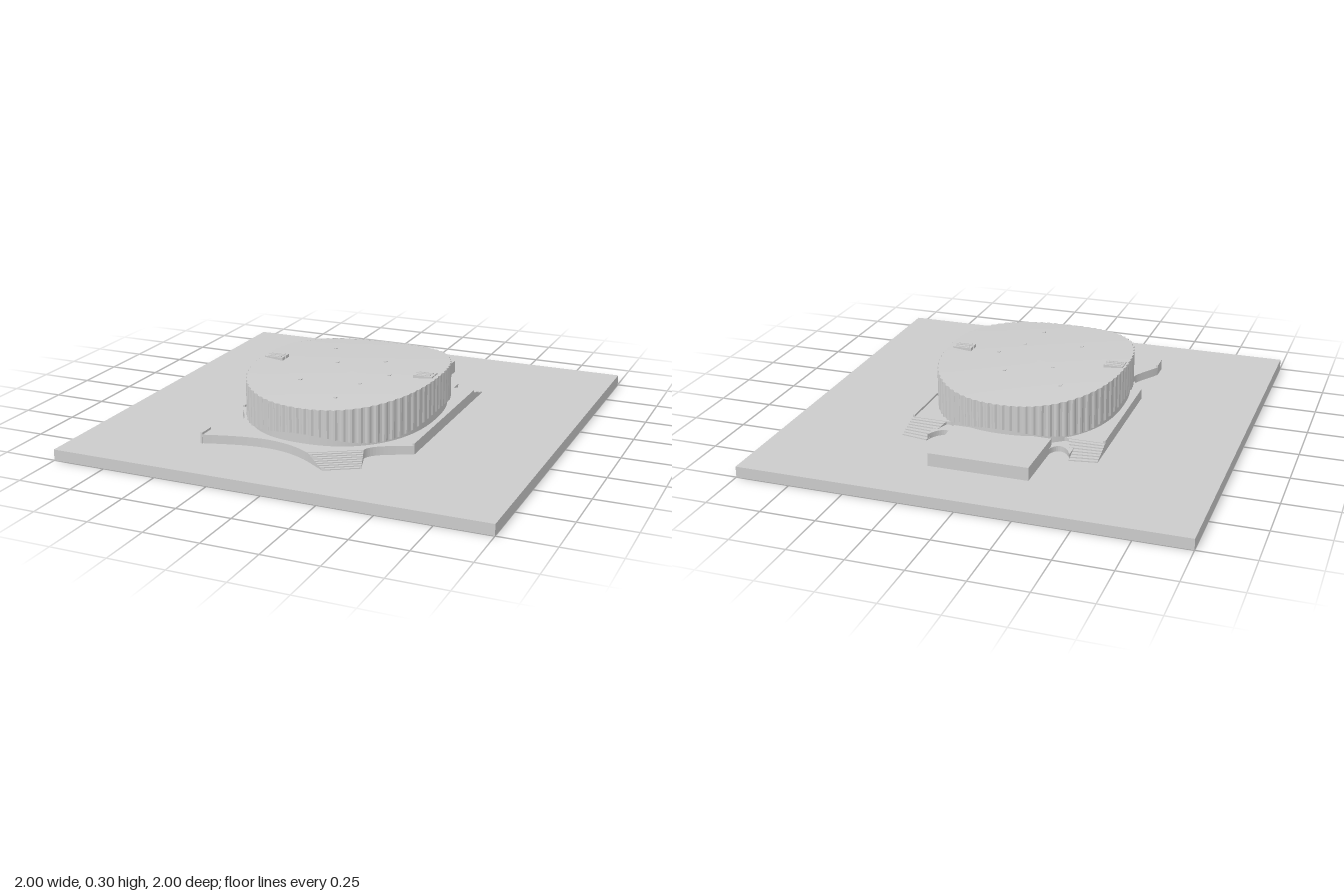
import * as THREE from 'three';

const CZ = 0.08, RX = 0.435, RZ = 0.54, POW = 2.3, SLAB = 0.05, DECK = 0.09;
const material = new THREE.MeshStandardMaterial({ color: 0xcccccc, side: THREE.DoubleSide });
const flatMaterial = new THREE.MeshStandardMaterial({ color: 0xcccccc, flatShading: true, side: THREE.DoubleSide });

// Rounded-oval footprint and saddle-shaped roof height
function oval(angle, scale) {
  const c = Math.cos(angle), s = Math.sin(angle);
  const r = scale * Math.pow(Math.abs(c) ** POW + Math.abs(s) ** POW, -1 / POW);
  return [RX * r * c, CZ + RZ * r * s];
}
const roofY = (x, z) => 0.268 + 0.024 * (x / RX) ** 2 - 0.016 * ((z - CZ) / RZ) ** 2;
const hemY = (angle) => 0.12 + 0.018 * Math.cos(4 * angle);

// Surface through closed rings; point(ring, index, angle) gives [x, y, z]
function loft(rings, sides, point) {
  const pos = [], index = [];
  for (let r = 0; r < rings; r++) {
    for (let j = 0; j < sides; j++) pos.push(...point(r, j, (j / sides) * Math.PI * 2));
  }
  for (let r = 0; r < rings - 1; r++) {
    for (let j = 0; j < sides; j++) {
      const a = r * sides + j, b = r * sides + (j + 1) % sides;
      index.push(a, a + sides, b, b, a + sides, b + sides);
    }
  }
  const g = new THREE.BufferGeometry();
  g.setAttribute('position', new THREE.Float32BufferAttribute(pos, 3));
  g.setIndex(index);
  g.computeVertexNormals();
  return g;
}

// Plan outline (x, z) raised from the slab to a given top
function raise(shape, top) {
  const g = new THREE.ExtrudeGeometry(shape, { depth: top - SLAB, bevelEnabled: false, curveSegments: 14 });
  return g.rotateX(Math.PI / 2).translate(0, top, 0);
}

export function createModel() {
  const model = new THREE.Group();
  const add = (name, geometry, mat = material, parent = model) => {
    const mesh = new THREE.Mesh(geometry, mat);
    mesh.name = name;
    parent.add(mesh);
    return mesh;
  };
  const box = (name, x0, x1, y0, y1, z0, z1, parent) => add(name,
    new THREE.BoxGeometry(x1 - x0, y1 - y0, z1 - z0)
      .translate((x0 + x1) / 2, (y0 + y1) / 2, (z0 + z1) / 2), material, parent);

  box('groundSlab', -1, 1, 0, SLAB, -1, 1);
  box('rearAnnex', -0.23, 0.225, SLAB, 0.11, -0.73, -0.42);

  // Podium with its curved front edge and notches
  const deck = new THREE.Shape();
  deck.moveTo(-0.455, -0.35);
  deck.lineTo(-0.455, 0.28);
  deck.bezierCurveTo(-0.42, 0.35, -0.375, 0.39, -0.375, 0.44);
  deck.bezierCurveTo(-0.375, 0.48, -0.42, 0.53, -0.455, 0.6);
  deck.lineTo(-0.455, 0.68);
  deck.bezierCurveTo(-0.33, 0.64, -0.24, 0.62, -0.17, 0.62);
  deck.bezierCurveTo(-0.08, 0.62, 0, 0.65, 0.07, 0.695);
  deck.lineTo(0.275, 0.57);
  deck.bezierCurveTo(0.28, 0.51, 0.37, 0.48, 0.455, 0.44);
  deck.lineTo(0.455, -0.35);
  deck.closePath();
  add('podium', raise(deck, DECK));

  // Low parapets along the podium sides
  box('parapetLeft', 0.445, 0.455, SLAB, 0.1, -0.35, 0.44);
  box('parapetRight', -0.455, -0.445, SLAB, 0.1, -0.35, 0.28);
  box('parapetCorner', -0.455, -0.445, SLAB, 0.1, 0.6, 0.68);

  // Stairs: stacked slabs reaching from an upper edge towards a lower edge
  function stairs(name, upper, lower, count) {
    const group = new THREE.Group();
    group.name = name;
    for (let i = 1; i <= count; i++) {
      const t = i / count;
      const ends = lower.map((p, k) => [0, 1].map((n) => upper[k][n] + (p[n] - upper[k][n]) * t));
      const outline = [upper[0], ends[0], ends[1], upper[1]].map((p) => new THREE.Vector2(...p));
      add('step', raise(new THREE.Shape(outline), DECK - (DECK - SLAB) * (i - 0.5) / (count + 0.5)), material, group);
    }
    model.add(group);
  }
  stairs('frontStairs', [[0.07, 0.695], [0.275, 0.57]], [[0.17, 0.765], [0.31, 0.68]], 8);
  for (const s of [1, -1]) {
    stairs('rearStairs', [[s * 0.29, -0.35], [s * 0.455, -0.35]], [[s * 0.33, -0.49], [s * 0.455, -0.47]], 7);

    // Curved return wall between annex and rear stairs
    const wall = new THREE.Shape();
    wall.moveTo(s * 0.225, -0.49);
    wall.bezierCurveTo(s * 0.23, -0.38, s * 0.3, -0.39, s * 0.33, -0.48);
    wall.lineTo(s * 0.33, -0.34);
    wall.lineTo(s * 0.2, -0.34);
    wall.closePath();
    add('rearReturn', raise(wall, 0.075));
  }

  // Recessed drum beneath the facade
  add('lowerDrum', loft(2, 120, (r, j, a) => {
    const [x, z] = oval(a, 0.965);
    return [x, r ? 0.15 : SLAB, z];
  }));

  // Ribbed facade with a wavy lower hem and saddle-shaped rim
  const facade = [[0.95, 0], [1, 0], [1, 1], [0.975, 1]];
  add('ribbedFacade', loft(facade.length, 320, (r, j, a) => {
    const [scale, top] = facade[r];
    const rib = scale === 1 && j % 4 < 2 ? 0.988 : scale;
    const [x, z] = oval(a, rib);
    return [x, top ? roofY(x, z) + 0.002 : hemY(a), z];
  }), flatMaterial);

  // Roof skin
  add('roof', loft(9, 120, (r, j, a) => {
    const [x, z] = oval(a, 0.985 * (1 - r / 8));
    return [x, roofY(x, z), z];
  }));

  // Paired plant units on the roof edges
  for (const x of [-0.375, 0.365]) {
    for (const z of [0.06, 0.1]) {
      box('roofUnit', x - 0.045, x + 0.045, 0.27, 0.296, z - 0.015, z + 0.015);
      box('roofUnitCap', x - 0.033, x + 0.033, 0.29, 0.299, z - 0.007, z + 0.007);
    }
  }

  // Small roof vents
  for (const [x, z] of [[0.09, 0.45], [0.1, -0.1], [-0.1, 0], [0.12, 0.25], [-0.15, 0.3], [0.2, 0.1], [-0.2, -0.2]]) {
    const y = roofY(x, z);
    box('roofVent', x - 0.007, x + 0.007, y - 0.004, y + 0.004, z - 0.007, z + 0.007);
  }
  return model;
}
